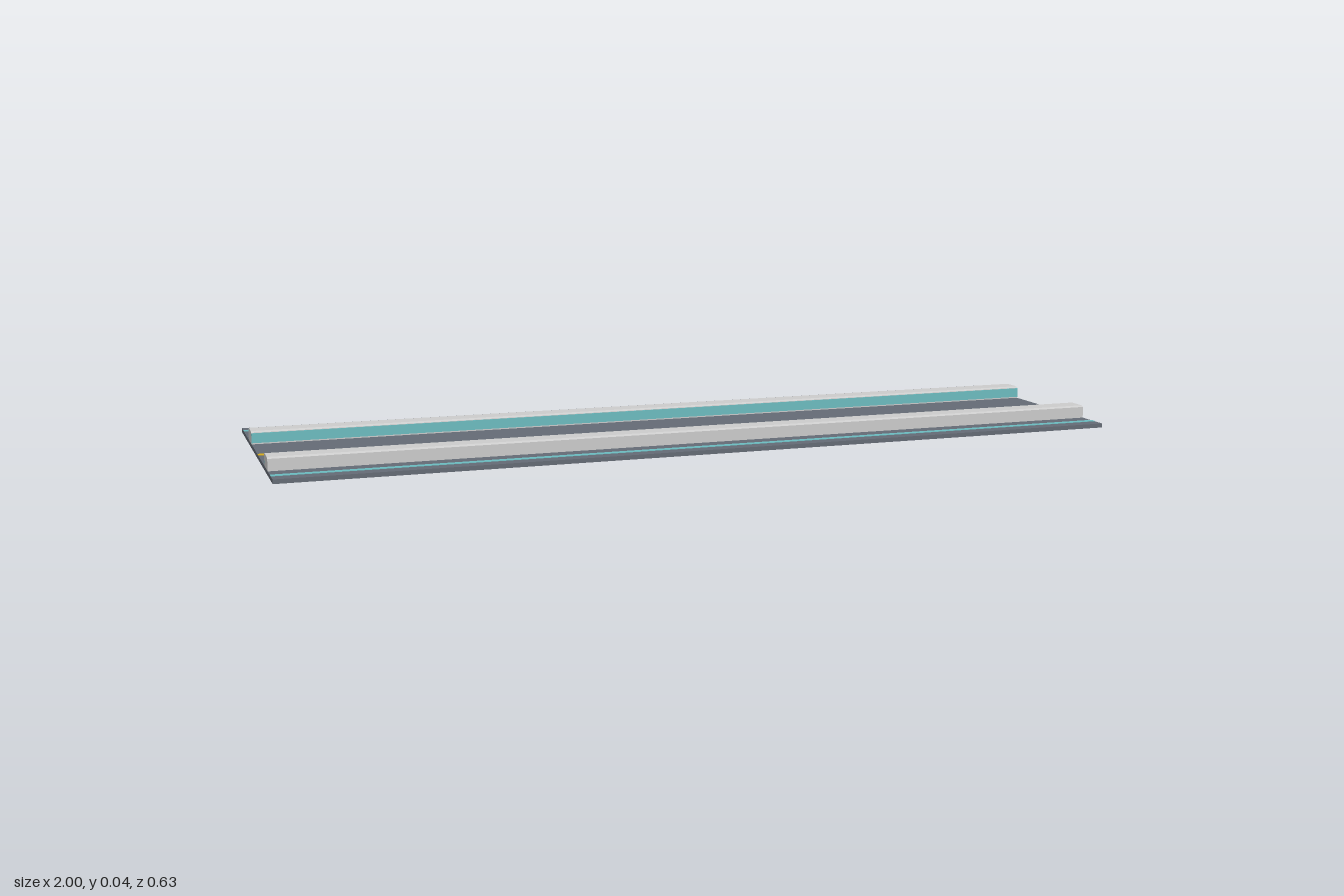
import * as THREE from 'three';

const LENGTH = 2;
const SLAB_TOP = 0.01;
const ROAD_CENTRE = 0.0365;

const paint = (color) => new THREE.MeshStandardMaterial({ color, flatShading: true });

export function createModel() {
  const group = new THREE.Group();
  const asphalt = paint(0x646b75);
  const concrete = paint(0xcccccc);
  const teal = paint(0x6cbcc0);
  const yellow = paint(0xd6aa1a);

  // Full-length bar with its base at height y
  function bar(name, material, height, depth, y, z) {
    const mesh = new THREE.Mesh(new THREE.BoxGeometry(LENGTH, height, depth), material);
    mesh.name = name;
    mesh.position.set(0, y + height / 2, z);
    group.add(mesh);
  }

  // Road slab
  bar('roadSlab', asphalt, SLAB_TOP, 0.63, 0, 0);

  // Painted lines
  bar('centreLine', yellow, 0.001, 0.016, SLAB_TOP, ROAD_CENTRE);
  bar('frontEdgeLine', teal, 0.001, 0.016, SLAB_TOP, 0.275);
  bar('backEdgeLine', teal, 0.001, 0.016, SLAB_TOP, -0.275);

  // Barrier cross-section: upright sides with chamfered top edges
  const profile = new THREE.Shape([
    [-0.03, SLAB_TOP], [0.03, SLAB_TOP], [0.03, 0.037],
    [0.022, 0.04], [-0.022, 0.04], [-0.03, 0.037],
  ].map(([x, y]) => new THREE.Vector2(x, y)));
  const barrierGeometry = new THREE.ExtrudeGeometry(profile, { depth: LENGTH, bevelEnabled: false });
  barrierGeometry.translate(0, 0, -LENGTH / 2).rotateY(Math.PI / 2);

  // Barriers on both sides of the lanes, each with a strip on its inner face
  for (const [side, label] of [[1, 'front'], [-1, 'back']]) {
    const barrier = new THREE.Mesh(barrierGeometry, concrete);
    barrier.name = `${label}Barrier`;
    barrier.position.z = ROAD_CENTRE + side * 0.161;
    group.add(barrier);
    bar(`${label}BarrierStrip`, teal, 0.023, 0.002, 0.013, ROAD_CENTRE + side * 0.13);
  }

  return group;
}
